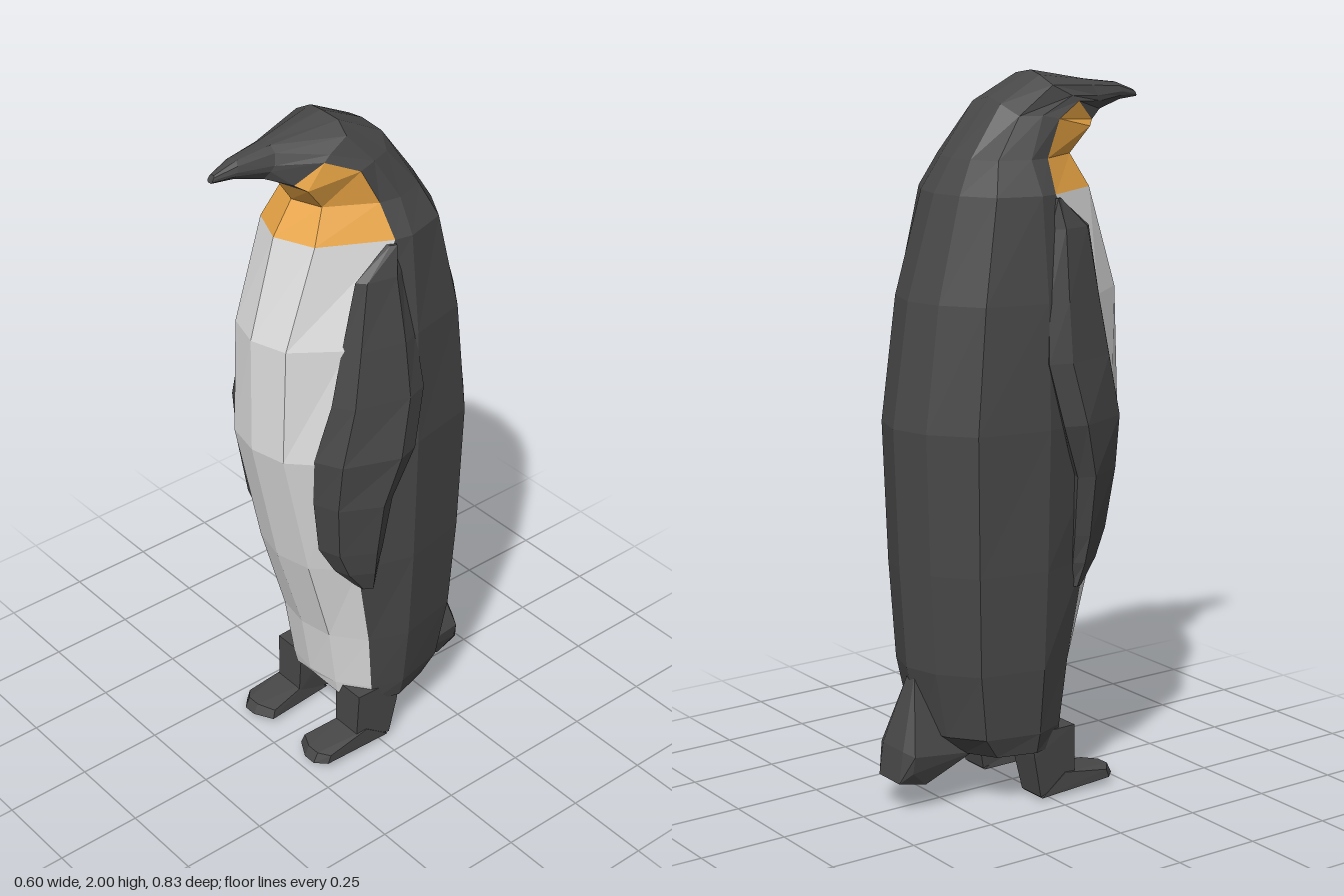
import * as THREE from 'three';
import { ConvexGeometry } from 'three/addons/geometries/ConvexGeometry.js';

function flatMaterial(name, color) {
  const m = new THREE.MeshStandardMaterial({ color, flatShading: true });
  m.name = name;
  return m;
}

// Skin closed rings (listed bottom to top, each turning front -> +x -> back).
// paint(row, column) picks the colour name of each panel.
function loft(rings, paint) {
  const bins = {};
  const tri = (key, ...pts) => {
    (bins[key] ??= []).push(...pts.flat());
  };
  const centre = (ring) => [0, 1, 2].map((k) => ring.reduce((s, p) => s + p[k], 0) / ring.length);
  const n = rings[0].length;
  const last = rings.length - 1;
  const low = centre(rings[0]);
  const high = centre(rings[last]);
  for (let j = 0; j < n; j++) {
    const k = (j + 1) % n;
    for (let i = 0; i < last; i++) {
      const key = paint(i, j);
      const a = rings[i][j], b = rings[i][k], c = rings[i + 1][k], d = rings[i + 1][j];
      tri(key, a, b, c);
      tri(key, a, c, d);
    }
    tri('dark', low, rings[0][k], rings[0][j]);
    tri('dark', high, rings[last][j], rings[last][k]);
  }
  const result = {};
  for (const key in bins) {
    const g = new THREE.BufferGeometry();
    g.setAttribute('position', new THREE.Float32BufferAttribute(bins[key], 3));
    g.computeVertexNormals();
    result[key] = g;
  }
  return result;
}

// Seven points from front to back become a symmetrical ring of twelve
const fullRing = (half) => [
  ...half,
  ...half.slice(1, 6).reverse().map(([x, y, z]) => [-x, y, z]),
];

// Torso ring: height, front z, belly edge x and z, half width, back z
function torsoRing([y, zf, xw, zw, hw, zb]) {
  const zs = -0.06;
  const back = (t) => zs + t * (zb - zs);
  return fullRing([
    [0, y, zf], [xw * 0.53, y, zf - 0.2 * (zf - zw)], [xw, y, zw], [hw, y, zs],
    [hw * 0.84, y, back(0.62)], [hw * 0.42, y, back(0.9)], [0, y, zb],
  ]);
}

function bodyRings() {
  const rings = [
    [0.15, 0.10, 0.175, 0.02, 0.20, -0.24],
    [0.21, 0.11, 0.18, 0.03, 0.215, -0.31],
    [0.40, 0.14, 0.19, 0.05, 0.235, -0.355],
    [0.68, 0.225, 0.20, 0.10, 0.25, -0.375],
    [1.07, 0.305, 0.20, 0.19, 0.26, -0.39],
    [1.41, 0.30, 0.20, 0.14, 0.25, -0.34],
    [1.69, 0.22, 0.21, -0.01, 0.22, -0.255],
    [1.78, 0.16, 0.16, 0.0, 0.17, -0.20],
  ].map(torsoRing);
  // Lift the front hem between the legs
  rings[0][0][1] = 0.19;
  rings[0][1][1] = rings[0][11][1] = 0.165;
  // Head rings tip forward into the curved beak
  const head = [
    [[0, 1.84, 0.2], [0.1, 1.85, 0.185], [0.145, 1.88, 0.05], [0.138, 1.89, 0],
      [0.115, 1.89, -0.06], [0.065, 1.92, -0.085], [0, 1.935, -0.075]],
    [[0, 1.865, 0.235], [0.075, 1.865, 0.21], [0.11, 1.92, 0.14], [0.107, 1.935, 0.12],
      [0.1, 1.965, 0.06], [0.055, 1.99, 0.05], [0, 2, 0.06]],
    [[0, 1.885, 0.275], [0.03, 1.887, 0.27], [0.047, 1.91, 0.26], [0.05, 1.925, 0.25],
      [0.04, 1.953, 0.24], [0.02, 1.967, 0.24], [0, 1.968, 0.24]],
    [[0, 1.907, 0.35], [0.014, 1.908, 0.35], [0.026, 1.92, 0.35], [0.028, 1.93, 0.35],
      [0.024, 1.945, 0.345], [0.012, 1.955, 0.34], [0, 1.956, 0.34]],
    [[0, 1.913, 0.415], [0.006, 1.913, 0.415], [0.01, 1.917, 0.414], [0.01, 1.922, 0.412],
      [0.009, 1.928, 0.408], [0.005, 1.932, 0.405], [0, 1.932, 0.405]],
  ];
  return [...rings, ...head.map(fullRing)];
}

function paintBody(row, col) {
  const c = Math.min(col, 11 - col); // mirrored panel column
  if (row < 6) return c < 2 ? 'white' : 'dark';
  if (row < 8) return c < 2 ? 'orange' : 'dark';
  if (row === 8 && c === 1) return 'orange'; // cheek patch
  return 'dark';
}

// Flipper rows: height, front edge x and z, outer x, back z
function flipperGeometry(side) {
  const rows = [
    [0.61, 0.19, 0.09, 0.22, 0.05],
    [0.68, 0.16, 0.15, 0.24, 0.045],
    [0.76, 0.14, 0.19, 0.255, 0.04],
    [0.93, 0.15, 0.215, 0.28, 0.03],
    [1.08, 0.165, 0.225, 0.30, -0.03],
    [1.25, 0.19, 0.185, 0.285, -0.07],
    [1.41, 0.19, 0.15, 0.265, -0.055],
    [1.60, 0.195, 0.11, 0.237, -0.03],
    [1.68, 0.2, 0.01, 0.22, -0.015],
  ];
  const rings = rows.map(([y, xf, zf, xo, zb]) => {
    const ring = [
      [xf, y, zf],
      [xf + 0.55 * (xo - xf), y, zf - 0.15 * (zf - zb)],
      [xo, y, zb + 0.25 * (zf - zb)],
      [xo - 0.02, y, zb],
      [xo - 0.07, y, zb + 0.1 * (zf - zb)],
    ];
    return side > 0 ? ring : ring.map(([x, yy, z]) => [-x, yy, z]).reverse();
  });
  return loft(rings, () => 'dark').dark;
}

const hull = (points) => new ConvexGeometry(points.map((p) => new THREE.Vector3(...p)));
const mirrored = (points) => points.flatMap(([x, y, z]) => [[x, y, z], [-x, y, z]]);

export function createModel() {
  const model = new THREE.Group();
  model.name = 'penguin';
  const materials = {
    dark: flatMaterial('charcoal feathers', 0x484848),
    white: flatMaterial('pale belly', 0xdcdcdc),
    orange: flatMaterial('orange collar', 0xe8a444),
  };
  const add = (name, geometry, key = 'dark') => {
    const mesh = new THREE.Mesh(geometry, materials[key]);
    mesh.name = name;
    model.add(mesh);
  };

  // Body, head and beak
  const body = loft(bodyRings(), paintBody);
  add('backAndHead', body.dark);
  add('belly', body.white, 'white');
  add('collar', body.orange, 'orange');

  // Tail wedge
  add('tail', hull(mirrored([
    [0.015, 0.38, -0.34], [0.09, 0.15, -0.2], [0.085, 0.17, -0.385],
    [0.05, 0.18, -0.402], [0.075, 0.12, -0.385], [0.06, 0.075, -0.335], [0.05, 0.09, -0.415],
  ])));

  for (const side of [1, -1]) {
    const label = side > 0 ? 'left' : 'right';
    add(label + 'Flipper', flipperGeometry(side));
    // Leg, tapering down to the heel
    add(label + 'Leg', hull([
      [0.08, 0.2, 0.08], [0.185, 0.2, 0.08], [0.08, 0.2, -0.07], [0.19, 0.2, -0.07],
      [0.085, 0.13, -0.06], [0.19, 0.13, -0.06], [0.085, 0.05, 0.085], [0.18, 0.05, 0.085],
      [0.095, 0.01, -0.035], [0.185, 0.01, -0.035],
    ].map(([x, y, z]) => [side * x, y, z])));
    // Webbed foot, wider at the toes
    add(label + 'Foot', hull([
      [0.095, 0.005, -0.03], [0.185, 0.005, -0.03], [0.09, 0.065, 0.05], [0.185, 0.065, 0.05],
      [0.065, 0.02, 0.2], [0.19, 0.02, 0.2], [0.12, 0.02, 0.23], [0.16, 0.02, 0.23],
      [0.07, 0.045, 0.19], [0.19, 0.045, 0.19], [0.12, 0.05, 0.215], [0.16, 0.05, 0.215],
      [0.11, 0, 0.0], [0.17, 0, 0.0],
    ].map(([x, y, z]) => [side * x, y, z])));
  }
  return model;
}
